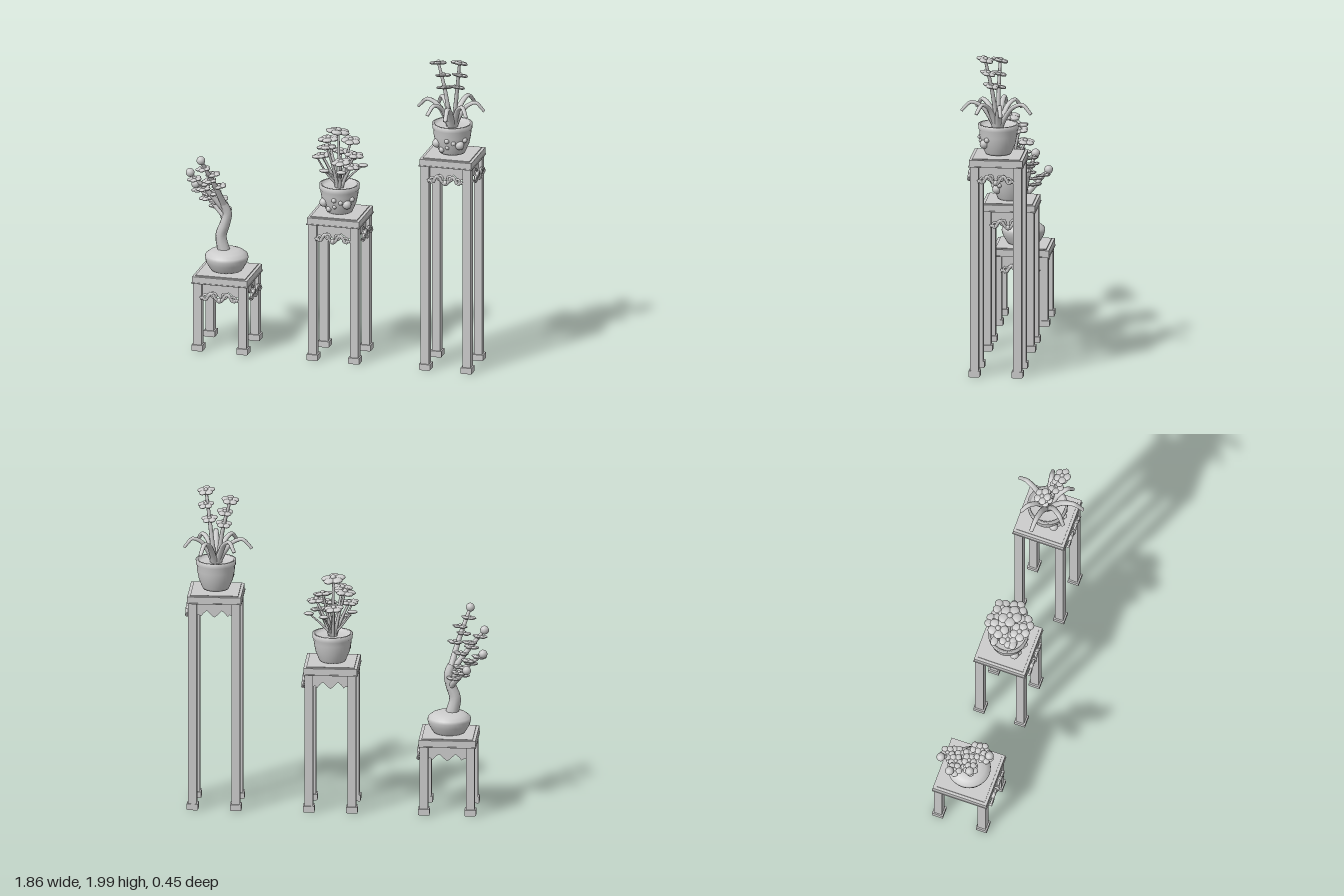
import * as THREE from 'three';

const grey = new THREE.MeshStandardMaterial({ color: 0xcccccc, side: THREE.DoubleSide });
grey.name = 'light grey';
const V = (x, y, z) => new THREE.Vector3(x, y, z);

function add(parent, name, geometry, x = 0, y = 0, z = 0) {
  const mesh = new THREE.Mesh(geometry, grey);
  mesh.name = name;
  mesh.position.set(x, y, z);
  parent.add(mesh);
  return mesh;
}
const box = (parent, name, w, h, d, x, y, z) =>
  add(parent, name, new THREE.BoxGeometry(w, h, d), x, y, z);
const ball = (parent, name, r, x, y, z) =>
  add(parent, name, new THREE.SphereGeometry(r, 14, 10), x, y, z);

// Tube along points whose radius runs from r0 to r1
function taperedTube(points, r0, r1, segments = 16) {
  const curve = new THREE.CatmullRomCurve3(points);
  const sides = 8;
  const geo = new THREE.TubeGeometry(curve, segments, 1, sides);
  const p = geo.attributes.position;
  const v = V(0, 0, 0);
  for (let i = 0; i < p.count; i++) {
    const t = Math.floor(i / (sides + 1)) / segments;
    const c = curve.getPointAt(t);
    v.fromBufferAttribute(p, i).sub(c).multiplyScalar(r0 + (r1 - r0) * t).add(c);
    p.setXYZ(i, v.x, v.y, v.z);
  }
  return geo;
}

// Flat blossom: five petals around a small heart
function flower(parent, x, y, z, r, tiltX = 0, tiltZ = 0) {
  const g = new THREE.Group();
  g.name = 'flower';
  g.position.set(x, y, z);
  g.rotation.set(tiltX, 0, tiltZ);
  const petal = new THREE.SphereGeometry(r * 0.47, 10, 8);
  for (let i = 0; i < 5; i++) {
    const a = i * Math.PI * 2 / 5 + 0.3;
    add(g, 'petal', petal, Math.cos(a) * r * 0.56, 0, Math.sin(a) * r * 0.56).scale.y = 0.42;
  }
  ball(g, 'flowerHeart', r * 0.25, 0, r * 0.12, 0);
  parent.add(g);
}

// Half of the scalloped lower edge: offset from centre, depth below the slab
const scallop = [[0.018, 0.088], [0.045, 0.055], [0.066, 0.075], [0.08, 0.098], [0.094, 0.085], [0.108, 0.09]];

function apron(parent, half, carved) {
  const g = new THREE.Group();
  g.name = 'apron';
  const k = (half - 0.055) / 0.108;
  const edge = [...scallop.map(([u, d]) => [-u * k, d]).reverse(), [0, 0.105],
    ...scallop.map(([u, d]) => [u * k, d])];
  const shape = new THREE.Shape();
  shape.moveTo(-0.108 * k, 0);
  edge.forEach(([u, d]) => shape.lineTo(u, -d * 0.85));
  shape.lineTo(0.108 * k, 0);
  add(g, 'apronPlate', new THREE.ExtrudeGeometry(shape, { depth: 0.012, bevelEnabled: false }), 0, 0, half - 0.04);
  if (carved) {
    // Raised scrollwork following the edge
    const path = edge.map(([u, d]) => V(u, 0.005 - d, 0));
    add(g, 'scrollwork', taperedTube(path, 0.011, 0.011, 40), 0, 0, half + 0.006);
    for (const s of [-1, 1]) {
      const curl = new THREE.TorusGeometry(0.015, 0.008, 6, 14);
      add(g, 'scrollCurl', curl, s * 0.08 * k, -0.075, half + 0.008);
      add(g, 'innerCurl', curl, s * 0.03 * k, -0.06, half + 0.008);
    }
    ball(g, 'pendant', 0.016, 0, -0.09, half + 0.006);
  }
  parent.add(g);
  return g;
}

// Square plant stand with its top surface at height h
function stand(name, x, h, width) {
  const g = new THREE.Group();
  g.name = name;
  g.position.set(x, 0, -0.004);
  const half = width / 2, leg = half - 0.032, under = h - 0.048;
  box(g, 'topSlab', width, 0.04, width, 0, h - 0.022, 0);
  box(g, 'slabLip', width + 0.008, 0.006, width + 0.008, 0, under + 0.005, 0);
  box(g, 'topPanel', width - 0.035, 0.008, width - 0.035, 0, h, 0);
  for (const sx of [-1, 1]) for (const sz of [-1, 1]) {
    box(g, 'leg', 0.052, under, 0.052, sx * leg, under / 2, sz * leg);
    box(g, 'foot', 0.07, 0.036, 0.07, sx * leg, 0.022, sz * leg);
    box(g, 'footSole', 0.06, 0.006, 0.06, sx * leg, 0.003, sz * leg);
  }
  for (let i = 0; i < 4; i++) {
    const a = apron(g, half, i < 2);
    a.position.y = under;
    a.rotation.y = i * Math.PI / 2;
  }
  return g;
}

const lathe = (profile) =>
  new THREE.LatheGeometry(profile.map(([r, y]) => new THREE.Vector2(r, y)), 32);

// Tapered pot with a collar and round reliefs on the front
function pot(parent, x, y, rimH) {
  const g = new THREE.Group();
  g.name = 'pot';
  g.position.set(x, y, -0.003);
  add(g, 'potBody', lathe([[0, 0], [0.078, 0], [0.084, 0.012], [0.104, 0.06], [0.115, 0.115],
    [0.117, rimH - 0.035], [0.122, rimH - 0.03], [0.124, rimH], [0.108, rimH], [0.105, rimH - 0.025], [0, rimH - 0.02]]));
  const reliefs = [[-0.08, 0.07, 0.028], [-0.045, 0.035, 0.018], [-0.005, 0.1, 0.015], [-0.005, 0.055, 0.013],
    [0.068, 0.07, 0.028], [0.095, 0.1, 0.016], [0.035, 0.085, 0.014]];
  for (const [rx, ry, r] of reliefs) {
    const R = 0.085 + ry * 0.28;
    ball(g, 'relief', r, rx, ry, Math.sqrt(Math.max(R * R - rx * rx, 0.001)));
  }
  parent.add(g);
}

// Bowl with a leaning blossom tree
function bonsai() {
  const g = new THREE.Group();
  g.name = 'bonsai';
  add(g, 'bowl', lathe([[0, 0.485], [0.095, 0.485], [0.105, 0.5], [0.125, 0.535], [0.133, 0.565], [0.13, 0.583],
    [0.105, 0.603], [0.07, 0.616], [0, 0.618]]), -0.69, 0, -0.003);
  add(g, 'trunk', taperedTube([V(-0.705, 0.6, 0), V(-0.725, 0.7, 0), V(-0.7, 0.78, 0), V(-0.685, 0.85, 0),
    V(-0.705, 0.91, 0.01)], 0.04, 0.026));
  const tips = [[-0.806, 1.23, 0.17], [-0.9, 1.115, 0.075], [-0.9, 1.0, -0.055], [-0.806, 0.92, -0.145]];
  tips.forEach(([x, y, z], n) => {
    const y0 = [0.88, 0.86, 0.82, 0.77][n];
    const start = V(-0.695, y0, 0), end = V(x, y, z);
    const mid = start.clone().lerp(end, 0.5).add(V(0.008, -0.005, 0));
    add(g, 'branch', taperedTube([start, mid, end], 0.021, 0.01));
    ball(g, 'bud', 0.027, x, y, z);
    const count = n === 3 ? 3 : 4;
    for (let i = 0; i < count; i++) {
      const p = start.clone().lerp(end, 0.42 + i * 0.5 / count);
      flower(g, p.x + (i % 2 ? -0.015 : 0.022), p.y + 0.012, p.z + (i % 2 ? 0.012 : -0.01), 0.046, 0.1, 0.12);
    }
  });
  return g;
}

// Round bush of blossoms on fanned stems
function bush() {
  const g = new THREE.Group();
  g.name = 'floweringBush';
  pot(g, 0.024, 0.925, 0.175);
  const blossoms = [[0.02, 1.44, 0.01, 0.074], [-0.055, 1.37, -0.04, 0.066], [0.08, 1.365, -0.06, 0.06],
    [-0.03, 1.36, 0.09, 0.062], [0.125, 1.3, 0.02, 0.06], [0.06, 1.27, 0.09, 0.06], [0.01, 1.28, -0.09, 0.06],
    [-0.075, 1.285, 0.03, 0.055], [0.115, 1.235, 0.05, 0.05]];
  blossoms.forEach(([x, y, z, r], i) => {
    add(g, 'stem', taperedTube([V(0.024 + (x - 0.024) * 0.12, 1.07, z * 0.12),
      V(0.024 + (x - 0.024) * 0.5, 1.07 + (y - 1.07) * 0.5, z * 0.5), V(x, y, z)], 0.012, 0.007, 8));
    flower(g, x, y, z, r, (i % 3 - 1) * 0.12, (i % 2 - 0.5) * 0.2);
  });
  const leaves = [[-0.1, 1.285, 0.07], [0.168, 1.225, -0.02], [0.065, 1.21, 0.11], [-0.055, 1.195, 0.06],
    [-0.1, 1.25, -0.05], [0.07, 1.23, -0.11]];
  for (const [x, y, z] of leaves) {
    add(g, 'leaf', new THREE.SphereGeometry(0.032, 10, 8), x, y, z).scale.set(1, 0.35, 0.75);
    add(g, 'leafStalk', taperedTube([V(0.024, 1.08, 0), V((x + 0.024) / 2, 1.16, z / 2), V(x, y, z)], 0.008, 0.005, 8));
  }
  return g;
}

// Strap leaved plant with two flower spikes
function orchid() {
  const g = new THREE.Group();
  g.name = 'orchid';
  pot(g, 0.738, 1.37, 0.185);
  const directions = [[-0.22, -0.03], [0.08, -0.21], [0.19, -0.035], [0.015, 0.22], [-0.12, 0.14], [-0.12, -0.13], [0.12, 0.12]];
  for (const [dx, dz] of directions) {
    const k = Math.hypot(dx, dz) / 0.22;
    const geo = taperedTube([V(0.01, 1.52, 0), V(0.05 * k, 1.6, 0), V(0.1 * k, 1.665, 0),
      V(0.165 * k, 1.69, 0), V(0.195 * k, 1.665, 0), V(0.222 * k, 1.635, 0)], 0.018, 0.009);
    geo.scale(1, 1, 1.35);
    add(g, 'strapLeaf', geo, 0.738, 0, 0).rotation.y = -Math.atan2(dz, dx);
  }
  const spikes = [[V(0.73, 1.52, 0), V(0.695, 1.75, 0), V(0.65, 1.93, -0.005)],
    [V(0.745, 1.52, 0), V(0.775, 1.76, 0.03), V(0.803, 1.965, 0.07)]];
  spikes.forEach((points, n) => {
    const curve = new THREE.CatmullRomCurve3(points);
    add(g, 'flowerSpike', taperedTube(points, 0.016, 0.009));
    [0.62, 0.81, 1].forEach((t, i) => {
      const p = curve.getPointAt(t);
      flower(g, p.x + (i === 1 ? 0.012 : 0), p.y + 0.003, p.z, i === 2 ? 0.054 : 0.05, -0.25, n ? -0.1 : 0.1);
    });
  });
  return g;
}

export function createModel() {
  const model = new THREE.Group();
  model.name = 'plantStands';
  model.add(
    stand('lowStand', -0.688, 0.48, 0.348), bonsai(),
    stand('middleStand', 0.027, 0.92, 0.328), bush(),
    stand('tallStand', 0.738, 1.36, 0.328), orchid());
  return model;
}
